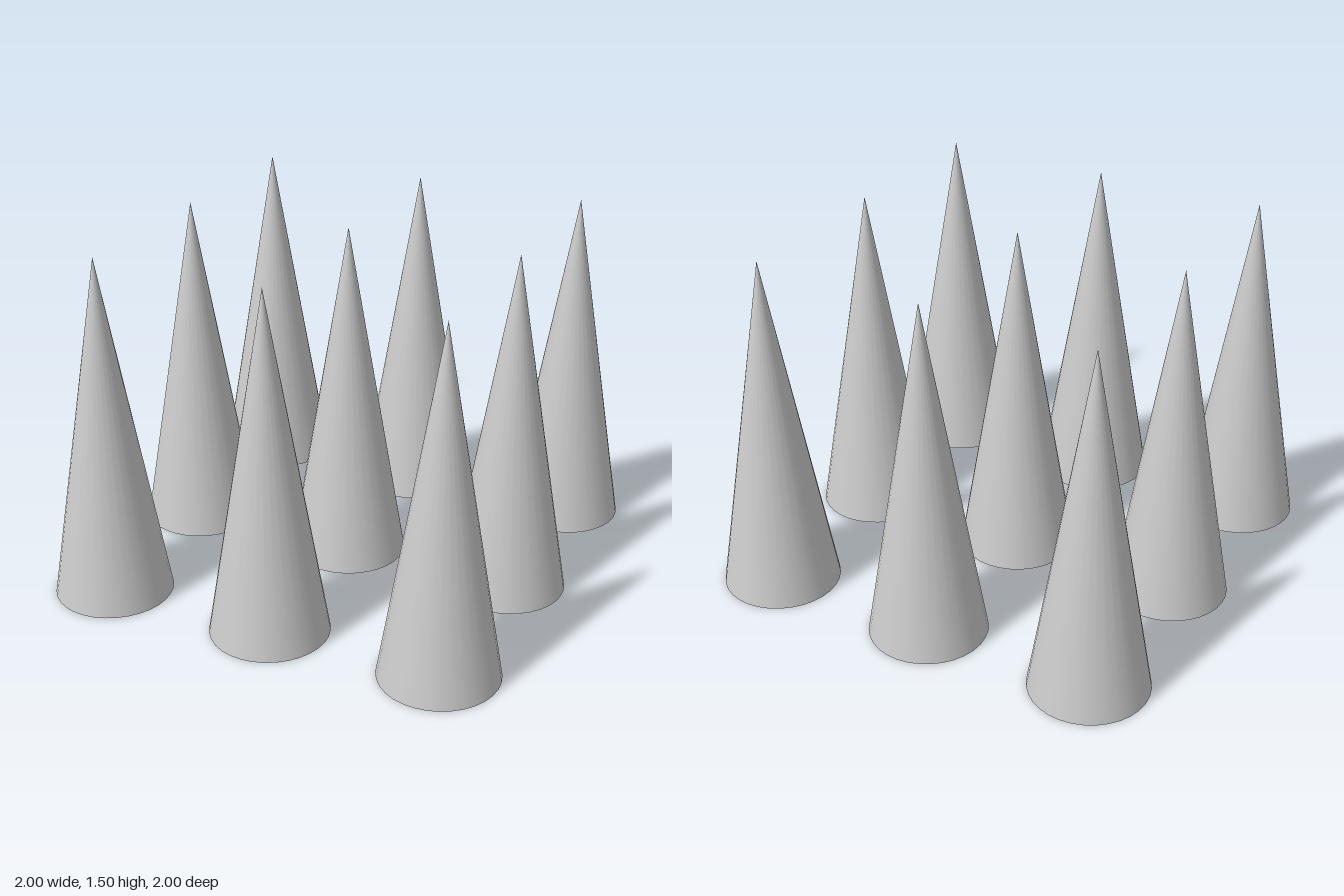
import * as THREE from 'three';

const RADIUS = 0.25;
const HEIGHT = 1.5;
const SPACING = 0.75;

export function createModel() {
  const model = new THREE.Group();
  model.name = 'spikeGrid';

  // One closed cone standing on y = 0, shared by every spike
  const geometry = new THREE.ConeGeometry(RADIUS, HEIGHT, 32);
  geometry.translate(0, HEIGHT / 2, 0);
  const material = new THREE.MeshStandardMaterial({ color: 0xcccccc });

  // Three by three grid of spikes
  for (let row = -1; row <= 1; row++) {
    for (let column = -1; column <= 1; column++) {
      const spike = new THREE.Mesh(geometry, material);
      spike.name = `spikeRow${row + 2}Column${column + 2}`;
      spike.position.set(column * SPACING, 0, row * SPACING);
      model.add(spike);
    }
  }
  return model;
}
